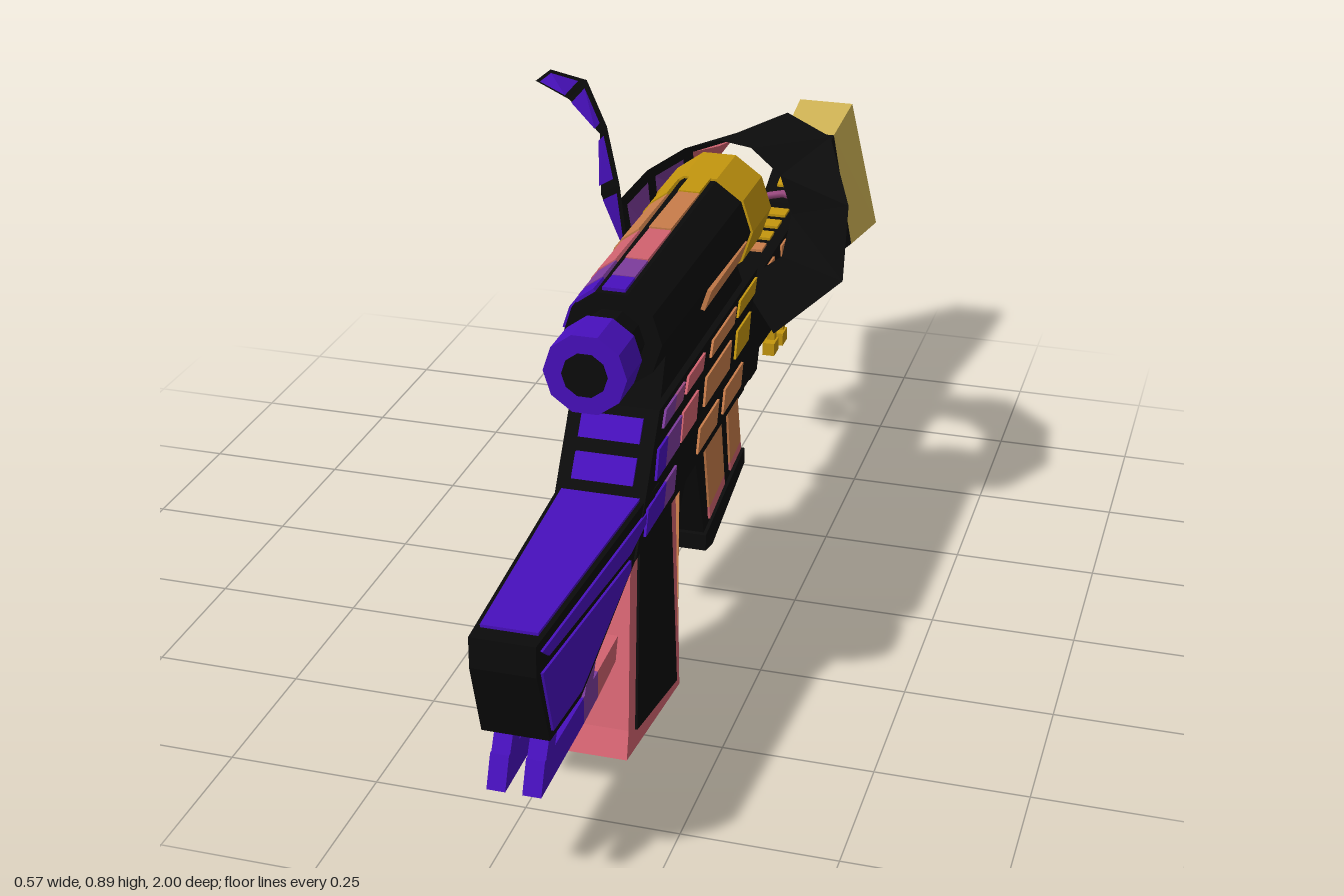
import * as THREE from 'three';

const CX = 0.0625; // centre plane of the body
const SCOPE_Y = 0.69;

const mat = (name, color) => {
  const m = new THREE.MeshStandardMaterial({ color, side: THREE.DoubleSide });
  m.name = name;
  return m;
};

export function createModel() {
  const model = new THREE.Group();
  const black = mat('black', 0x0b0b0b), indigo = mat('indigo', 0x4810bd), purple = mat('purple', 0x7d3c9c);
  const rose = mat('rose', 0xd1626f), orange = mat('orange', 0xc97d4a), gold = mat('gold', 0xc4960e);
  const pale = mat('pale gold', 0xd0b455), magenta = mat('magenta', 0xcc10b0), mauve = mat('mauve', 0x9a4a80);

  const add = (name, geo, m, parent = model) => {
    const mesh = new THREE.Mesh(geo, m);
    mesh.name = name;
    parent.add(mesh);
    return mesh;
  };
  const box = (name, m, sx, sy, sz, x, y, z, parent) => {
    const b = add(name, new THREE.BoxGeometry(sx, sy, sz), m, parent);
    b.position.set(x, y, z);
    return b;
  };

  // Side profile of [z, y] points, extruded along x; width(z, y) is the half width.
  // With a thickness it becomes a mirrored pair of plates standing at that half width.
  const profile = (name, m, pts, width, thick = 0) => {
    const w = typeof width === 'function' ? width : () => width;
    for (const s of thick ? [-1, 1] : [0]) {
      const shape = new THREE.Shape(pts.map(p => new THREE.Vector2(p[0], p[1])));
      const geo = new THREE.ExtrudeGeometry(shape, { depth: 1, bevelEnabled: false });
      geo.translate(0, 0, -0.5).rotateY(-Math.PI / 2);
      const p = geo.attributes.position;
      for (let i = 0; i < p.count; i++) {
        const half = w(p.getZ(i), p.getY(i));
        p.setX(i, CX + (s ? s * half + p.getX(i) * thick : 2 * p.getX(i) * half));
      }
      geo.computeVertexNormals();
      add(name, geo, m);
    }
  };
  const rect = (z0, z1, y0, y1, lean = 0) => [[z0, y0], [z1, y0], [z1 - lean, y1], [z0 - lean, y1]];
  const quads = list => {
    const v = [];
    for (const [a, b, c, d] of list) for (const p of [a, b, c, a, c, d]) v.push(...p);
    const geo = new THREE.BufferGeometry();
    geo.setAttribute('position', new THREE.Float32BufferAttribute(v, 3));
    geo.computeVertexNormals();
    return geo;
  };

  // Tapered front stock with inset panels
  const stockW = z => 0.05 + (1 - z) * 0.048;
  profile('stock', black, [[1, 0.45], [1, 0.4], [0.955, 0.27], [0.83, 0.27], [0.58, 0.38], [0.48, 0.455]], stockW);
  profile('stockPanel', indigo, [[0.985, 0.4], [0.95, 0.285], [0.835, 0.285], [0.62, 0.375], [0.62, 0.39]], stockW, 0.008);
  profile('stockStripe', indigo, [[0.985, 0.435], [0.96, 0.415], [0.62, 0.402], [0.55, 0.42], [0.55, 0.435]], stockW, 0.008);
  profile('stockTop', indigo, [[0.97, 0.449], [0.53, 0.453], [0.53, 0.459], [0.97, 0.455]], z => stockW(z) - 0.008);

  // Twin lower rods with diagonal struts
  const rods = [
    [indigo, [[0.97, 0.18], [0.95, 0.23], [0.77, 0.23], [0.77, 0.185]]],
    [purple, [[0.77, 0.185], [0.77, 0.23], [0.7, 0.235], [0.7, 0.19]]],
    [rose, [[0.7, 0.19], [0.7, 0.235], [0.57, 0.24], [0.57, 0.205]]],
    [indigo, [[0.95, 0.22], [0.92, 0.275], [0.88, 0.275], [0.91, 0.22]]],
    [purple, [[0.77, 0.22], [0.71, 0.335], [0.67, 0.335], [0.73, 0.22]]],
  ];
  for (const [m, pts] of rods) profile('lowerRod', m, pts, 0.0275, 0.029);

  // Grip
  const gripW = (z, y) => (y < 0.02 ? 0.056 : 0.0825 - 0.09 * y);
  profile('grip', rose, [[0.667, 0.06], [0.645, 0.1], [0.54, 0.4], [0.285, 0.4], [0.378, 0.03], [0.383, 0]], gripW);
  profile('gripPanel', black, [[0.615, 0.085], [0.505, 0.39], [0.335, 0.39], [0.4, 0.05]], gripW, 0.008);
  profile('gripBack', orange, [[0.295, 0.385], [0.284, 0.385], [0.354, 0.1], [0.365, 0.1]], z => 0.054 + (z - 0.29) * 0.25);

  // Receiver with rows of coloured side panels
  profile('receiver', black, [[0.6, 0.38], [0.47, 0.575], [-0.14, 0.575], [-0.07, 0.45], [-0.12, 0.38]], 0.073);
  const rows = [
    [0.54, 0.565, [[0.4, 0.46, purple], [0.35, 0.4, mauve], [0.23, 0.33, rose], [0.03, 0.18, orange], [-0.11, 0.005, gold]]],
    [0.468, 0.515, [[0.45, 0.5, indigo], [0.37, 0.45, purple], [0.27, 0.36, rose], [0.06, 0.22, orange], [-0.07, 0.02, gold]]],
    [0.4, 0.44, [[0.46, 0.56, indigo], [0.4, 0.46, purple], [0.14, 0.26, orange], [-0.02, 0.1, orange]]],
  ];
  for (const [y0, y1, cells] of rows)
    for (const [z0, z1, m] of cells) profile('receiverPanel', m, rect(z0, z1, y0, y1, 0.015), 0.073, 0.008);
  const slope = y => 0.6 - (y - 0.38) * 0.667;
  for (const [y0, y1] of [[0.475, 0.51], [0.53, 0.562]])
    profile('frontBar', indigo, [[slope(y0) - 0.004, y0], [slope(y0) + 0.005, y0], [slope(y1) + 0.005, y1], [slope(y1) - 0.004, y1]], 0.05);
  profile('scopeMount', black, [[0.43, 0.57], [0.4, 0.64], [-0.02, 0.64], [-0.08, 0.57]], 0.062);

  // Ten-sided scope along z
  const tube = (name, m, rFront, rBack, z0, z1) => {
    const geo = new THREE.CylinderGeometry(rFront, rBack, z1 - z0, 10, 1, false, Math.PI / 10).toNonIndexed();
    geo.rotateX(Math.PI / 2);
    geo.computeVertexNormals();
    add(name, geo, m).position.set(CX, SCOPE_Y, (z0 + z1) / 2);
  };
  tube('scopeLensRing', indigo, 0.066, 0.066, 0.54, 0.617);
  tube('scopeLens', black, 0.036, 0.036, 0.61, 0.62);
  tube('scopeNeck', black, 0.052, 0.052, 0.47, 0.55);
  tube('scopeBody', black, 0.08, 0.09, -0.03, 0.48);
  tube('scopeRearRing', gold, 0.094, 0.094, -0.147, -0.02);
  tube('scopeRearLens', black, 0.05, 0.05, -0.151, -0.14);
  const scopeStripe = (deg, z0, z1, m) => {
    const a = THREE.MathUtils.degToRad(deg), zm = (z0 + z1) / 2;
    const r = (0.0896 - zm * 0.02) * Math.cos(Math.PI / 10) + 0.001;
    const b = box('scopeStripe', m, 0.037, 0.008, z1 - z0, CX + Math.sin(a) * r, SCOPE_Y + Math.cos(a) * r, zm);
    b.rotation.z = -a;
  };
  for (const deg of [0, -36, -72, -108])
    for (const [z0, z1, m] of [[0.42, 0.47, indigo], [0.35, 0.42, purple], [0.22, 0.35, rose], [0.05, 0.22, orange], [-0.02, 0.05, gold]])
      scopeStripe(deg, z0, z1, m);
  scopeStripe(108, 0, 0.23, orange);

  // Magazine pair
  profile('magazine', black, [[0.18, 0.38], [-0.1, 0.38], [-0.145, 0.19], [0.1, 0.15]], 0.046);
  const magazinePanels = [
    [orange, [[0.12, 0.36], [0.015, 0.365], [-0.015, 0.225], [0.085, 0.21]]],
    [rose, [[0.085, 0.21], [-0.015, 0.225], [-0.02, 0.205], [0.08, 0.185]]],
    [orange, [[-0.03, 0.365], [-0.095, 0.365], [-0.128, 0.24], [-0.055, 0.23]]],
    [rose, [[-0.055, 0.23], [-0.128, 0.24], [-0.132, 0.222], [-0.06, 0.212]]],
  ];
  for (const [m, pts] of magazinePanels) profile('magazinePanel', m, pts, 0.046, 0.008);
  profile('magazineBase', black, [[0.115, 0.17], [0.115, 0.14], [0.07, 0.13], [-0.15, 0.185], [-0.15, 0.215]], 0.052);

  // Trigger and guard
  profile('triggerGuard', black, [[0.34, 0.235], [0.34, 0.255], [0.24, 0.255], [0.17, 0.34], [0.15, 0.32], [0.225, 0.235]], 0.03);
  profile('trigger', gold, [[0.34, 0.38], [0.24, 0.38], [0.32, 0.27]], 0.014);

  // Rear barrel with flared end: [z, bottom y, top y, bottom half width, top half width]
  const barrel = [[0, 0.38, 0.505, 0.05, 0.046], [-0.63, 0.37, 0.515, 0.058, 0.043], [-0.85, 0.355, 0.585, 0.093, 0.05], [-0.997, 0.35, 0.605, 0.114, 0.055]];
  const corners = ([z, b, t, wb, wt]) => [[CX - wb, b, z], [CX + wb, b, z], [CX + wt, t, z], [CX - wt, t, z]];
  const loft = (name, m, sections) => {
    const c = sections.map(corners), list = [[...c[0]], [...c.at(-1)].reverse()];
    for (let i = 0; i + 1 < c.length; i++)
      for (let k = 0; k < 4; k++) list.push([c[i][(k + 1) % 4], c[i][k], c[i + 1][k], c[i + 1][(k + 1) % 4]]);
    add(name, quads(list), m);
  };
  loft('barrel', black, barrel.slice(0, 3));
  loft('barrelEnd', pale, barrel.slice(2));
  const at = z => {
    let i = 0;
    while (i < 2 && z < barrel[i + 1][0]) i++;
    const [a, b] = [barrel[i], barrel[i + 1]], k = (z - a[0]) / (b[0] - a[0]);
    return a.map((v, j) => v + (b[j] - v) * k);
  };
  const barrelW = (z, y) => {
    const [, b, t, wb, wt] = at(z);
    return wb + (wt - wb) * (y - b) / (t - b);
  };
  const windows = [[-0.245, 0.49, 0.04, rose], [-0.35, 0.49, 0.04, orange], [-0.445, 0.49, 0.04, orange], [-0.53, 0.49, 0.04, gold],
    [-0.605, 0.49, 0.03, gold], [-0.605, 0.44, 0.035, gold], [-0.7, 0.44, 0.045, gold], [-0.82, 0.42, 0.04, gold], [-0.76, 0.5, 0.04, gold]];
  for (const [z, y, s, m] of windows) profile('barrelWindow', m, rect(z - s / 2, z + s / 2, y - 0.016, y + 0.016), barrelW, 0.008);
  for (const [z, s, m] of [[-0.8, 0.05, pale], [-0.7, 0.05, gold], [-0.57, 0.035, gold], [-0.51, 0.035, gold], [-0.45, 0.035, gold], [-0.39, 0.035, orange], [-0.25, 0.035, rose]])
    profile('topWindow', m, [-1, 1, 1, -1].map((e, i) => [z + e * s / 2, at(z + e * s / 2)[2] + (i < 2 ? -0.003 : 0.005)]), 0.023);

  // End plate with hexagon ring and slots
  loft('endPlate', black, [[-0.995, 0.365, 0.59, 0.094, 0.045], [-0.9985, 0.365, 0.59, 0.094, 0.045]]);
  const hex = add('endHexagon', new THREE.TorusGeometry(0.032, 0.006, 4, 6), pale);
  hex.position.set(CX, 0.5, -0.998);
  hex.rotation.z = Math.PI / 6;
  hex.scale.z = 0.3;
  box('endSlot', pale, 0.09, 0.013, 0.003, CX, 0.425, -0.9985);
  box('endSlot', pale, 0.04, 0.013, 0.003, CX, 0.4, -0.9985);

  // Teeth under the barrel
  profile('underRail', black, [[-0.1, 0.39], [-0.14, 0.35], [-0.38, 0.34], [-0.41, 0.385]], 0.035);
  for (const z of [-0.18, -0.275]) profile('railTooth', black, [[z + 0.045, 0.35], [z + 0.025, 0.305], [z - 0.025, 0.305], [z - 0.045, 0.35]], 0.035);

  // Ring and the two hanging note charms
  const ring = add('charmRing', new THREE.TorusGeometry(0.08, 0.007, 6, 16), mauve);
  ring.position.set(CX, 0.445, -0.63);
  ring.scale.set(0.92, 1.1, 1);
  const charm = (name, m, x, y, z) => {
    const g = new THREE.Group();
    g.name = name;
    g.position.set(x, y, z);
    model.add(g);
    box('noteBeam', m, 0.02, 0.024, 0.09, 0, 0, 0, g).rotation.x = -0.12;
    for (const s of [-1, 1]) {
      box('noteStem', m, 0.016, 0.1, 0.014, 0, -0.05 + s * 0.004, s * 0.036, g);
      box('noteHead', m, 0.024, 0.026, 0.036, 0, -0.1 + s * 0.004, s * 0.036 + 0.008, g);
    }
    box('charmCord', mauve, 0.006, 0.06, 0.006, 0, 0.03, 0.01, g);
  };
  charm('goldCharm', gold, 0.05, 0.315, -0.645);
  charm('magentaCharm', magenta, 0.005, 0.345, -0.645);

  // Ribbon sweeping around behind the scope: pairs of outer and inner edge points
  const outer = [[0.16, 0.44, -0.17], [0.285, 0.56, -0.16], [0.285, 0.69, -0.19], [0.225, 0.775, -0.3], [0.12, 0.775, -0.41], [0.02, 0.72, -0.43],
    [-0.05, 0.62, -0.36], [-0.085, 0.575, -0.24], [-0.087, 0.575, -0.1], [-0.14, 0.7, -0.1], [-0.15, 0.8, -0.13], [-0.22, 0.845, -0.17], [-0.285, 0.87, -0.18]];
  const inner = [[0.09, 0.52, -0.2], [0.16, 0.57, -0.22], [0.17, 0.64, -0.25], [0.14, 0.7, -0.28], [0.08, 0.74, -0.3], [0.02, 0.745, -0.31],
    [-0.03, 0.745, -0.25], [-0.085, 0.715, -0.2], [-0.1, 0.7, -0.08], [-0.09, 0.74, -0.05], [-0.115, 0.84, -0.06], [-0.18, 0.89, -0.15], [-0.26, 0.89, -0.19]];
  const tint = [gold, gold, orange, orange, rose, rose, purple, purple, indigo, indigo, indigo, indigo];
  const band = [];
  tint.forEach((m, i) => {
    const q = [outer[i], outer[i + 1], inner[i + 1], inner[i]];
    band.push(q);
    const v = q.map(p => new THREE.Vector3(...p));
    const n = v[2].clone().sub(v[0]).cross(v[3].clone().sub(v[1])).normalize().multiplyScalar(-0.006);
    const mid = v.reduce((s, p) => s.add(p), new THREE.Vector3()).multiplyScalar(0.25);
    add('ribbonPanel', quads([v.map(p => p.lerp(mid, 0.25).add(n).toArray())]), m);
  });
  add('ribbon', quads(band), black);

  return model;
}
